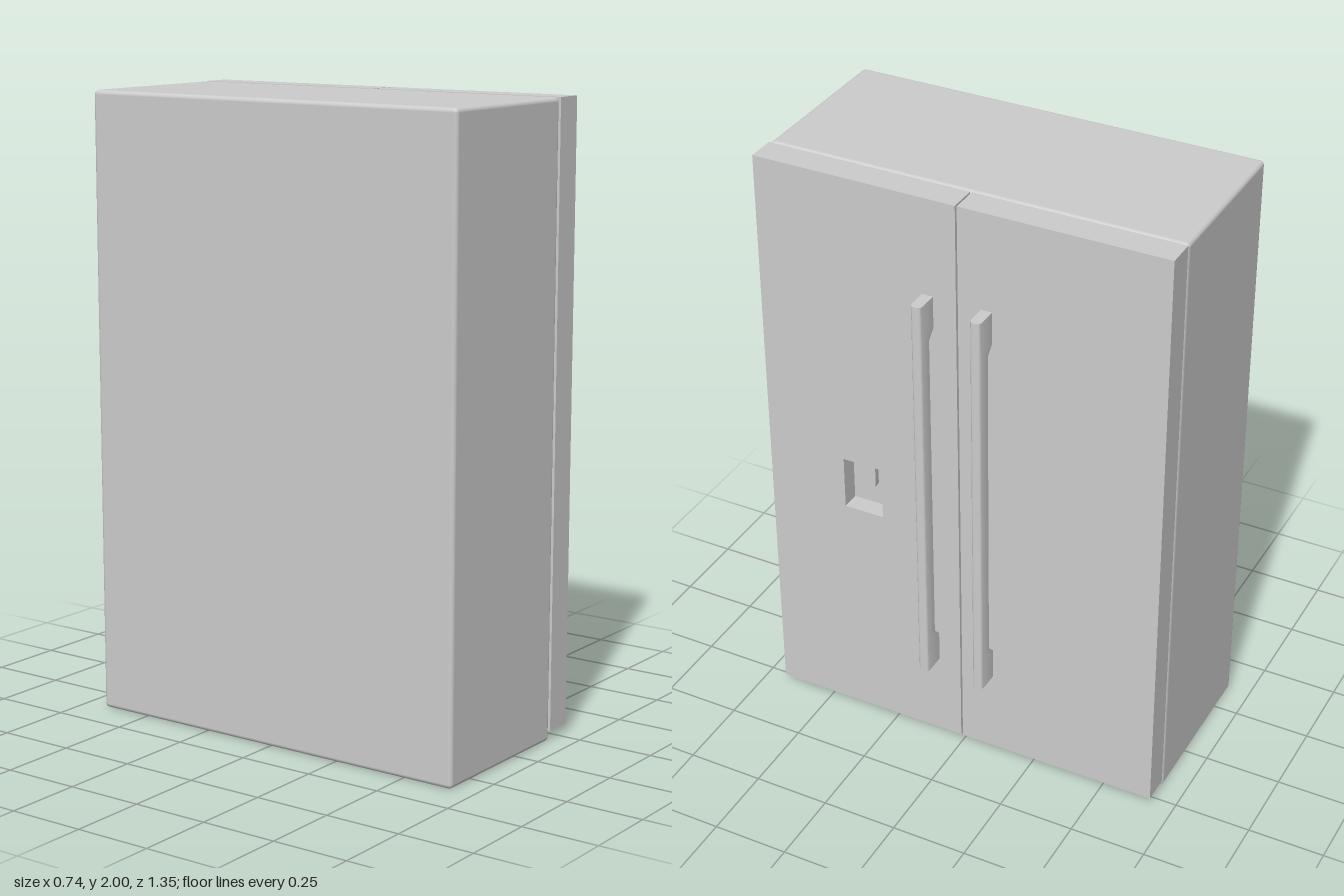
import * as THREE from 'three';
import { RoundedBoxGeometry } from 'three/addons/geometries/RoundedBoxGeometry.js';
import { toCreasedNormals } from 'three/addons/utils/BufferGeometryUtils.js';

const grey = new THREE.MeshStandardMaterial({ color: 0xcccccc });
const thin = new THREE.MeshStandardMaterial({ color: 0xcccccc, side: THREE.DoubleSide });

const HALF_W = 0.675, HEIGHT = 2;
const BACK = -0.37, BODY_FRONT = 0.19;
const DOOR_BACK = 0.194, DOOR_FRONT = 0.288, DOOR_BOTTOM = 0.028;
const RECESS_BACK = 0.228;

function add(parent, name, geometry, material = grey) {
  const mesh = new THREE.Mesh(geometry, material);
  mesh.name = name;
  parent.add(mesh);
  return mesh;
}

// Box given by its limits on each axis
function boxBetween(x0, x1, y0, y1, z0, z1) {
  return new THREE.BoxGeometry(x1 - x0, y1 - y0, z1 - z0)
    .translate((x0 + x1) / 2, (y0 + y1) / 2, (z0 + z1) / 2);
}

// Outline drawn in (-z, y), pushed along x from x0 to x1
function extrudeAlongX(shape, x0, x1) {
  const g = new THREE.ExtrudeGeometry(shape, { depth: x1 - x0, bevelEnabled: false, curveSegments: 8 });
  return toCreasedNormals(g.rotateY(Math.PI / 2).translate(x0, 0, 0), 0.6);
}

function rectPath(path, x0, x1, y0, y1) {
  path.moveTo(x0, y0);
  path.lineTo(x1, y0);
  path.lineTo(x1, y1);
  path.lineTo(x0, y1);
  path.closePath();
  return path;
}

// Softly rounded cabinet shell, open underneath
function cabinetGeometry() {
  const src = new RoundedBoxGeometry(BODY_FRONT - BACK, HEIGHT, HALF_W * 2, 3, 0.014);
  src.translate((BACK + BODY_FRONT) / 2, HEIGHT / 2, 0);
  const p = src.attributes.position, n = src.attributes.normal;
  const pos = [], nor = [];
  for (let i = 0; i < p.count; i += 3) {
    const corners = [i, i + 1, i + 2];
    if (corners.every((k) => p.getY(k) < 0.001)) continue;
    for (const k of corners) {
      pos.push(p.getX(k), p.getY(k), p.getZ(k));
      nor.push(n.getX(k), n.getY(k), n.getZ(k));
    }
  }
  const g = new THREE.BufferGeometry();
  g.setAttribute('position', new THREE.Float32BufferAttribute(pos, 3));
  g.setAttribute('normal', new THREE.Float32BufferAttribute(nor, 3));
  return g;
}

// Handle: round-nosed section swept up through stations, its back edge stepping to form the feet
function handleGeometry() {
  const w = 0.018, tip = 0.365, r = 0.014;
  const section = new THREE.Shape();
  section.moveTo(0, -w);
  section.lineTo(tip - r, -w);
  section.quadraticCurveTo(tip, -w, tip, 0);
  section.quadraticCurveTo(tip, w, tip - r, w);
  section.lineTo(0, w);
  section.closePath();
  const stationY = [0.32, 0.425, 0.455, 1.545, 1.575, 1.68];
  const backX = [0.287, 0.287, 0.316, 0.316, 0.287, 0.287];
  const g = new THREE.ExtrudeGeometry(section, { depth: 5, steps: 5, bevelEnabled: false, curveSegments: 6 });
  g.rotateX(-Math.PI / 2);
  const p = g.attributes.position;
  for (let i = 0; i < p.count; i++) {
    const s = Math.round(p.getY(i));
    p.setY(i, stationY[s]);
    if (p.getX(i) < 0.001) p.setX(i, backX[s]);
  }
  return toCreasedNormals(g, 0.6);
}

export function createModel() {
  const model = new THREE.Group();
  model.name = 'refrigerator';

  add(model, 'cabinet', cabinetGeometry(), thin);

  // Plain door
  add(model, 'plainDoor', boxBetween(DOOR_BACK, DOOR_FRONT, DOOR_BOTTOM, HEIGHT, -HALF_W, -0.003));

  // Door with the dispenser recess cut into its front layer
  const dispenserDoor = new THREE.Group();
  dispenserDoor.name = 'dispenserDoor';
  model.add(dispenserDoor);
  const panel = rectPath(new THREE.Shape(), -HALF_W, -0.003, DOOR_BOTTOM, HEIGHT);
  panel.holes.push(rectPath(new THREE.Path(), -0.408, -0.273, 0.82, 1.0));
  add(dispenserDoor, 'doorPanel', extrudeAlongX(panel, RECESS_BACK, DOOR_FRONT));
  add(dispenserDoor, 'doorBacking', boxBetween(DOOR_BACK, RECESS_BACK, DOOR_BOTTOM, HEIGHT, 0.003, HALF_W));

  // Round-ended lever hanging in the recess
  const lever = new THREE.Shape();
  lever.moveTo(-0.362, 1.0);
  lever.lineTo(-0.362, 0.905);
  lever.quadraticCurveTo(-0.362, 0.89, -0.347, 0.89);
  lever.lineTo(-0.334, 0.89);
  lever.quadraticCurveTo(-0.319, 0.89, -0.319, 0.905);
  lever.lineTo(-0.319, 1.0);
  lever.closePath();
  add(dispenserDoor, 'dispenserLever', extrudeAlongX(lever, RECESS_BACK, RECESS_BACK + 0.02));

  // Pair of handles beside the centre gap
  const handle = handleGeometry();
  for (const [name, z] of [['dispenserDoorHandle', 0.097], ['plainDoorHandle', -0.097]]) {
    add(model, name, handle).position.z = z;
  }
  return model;
}
